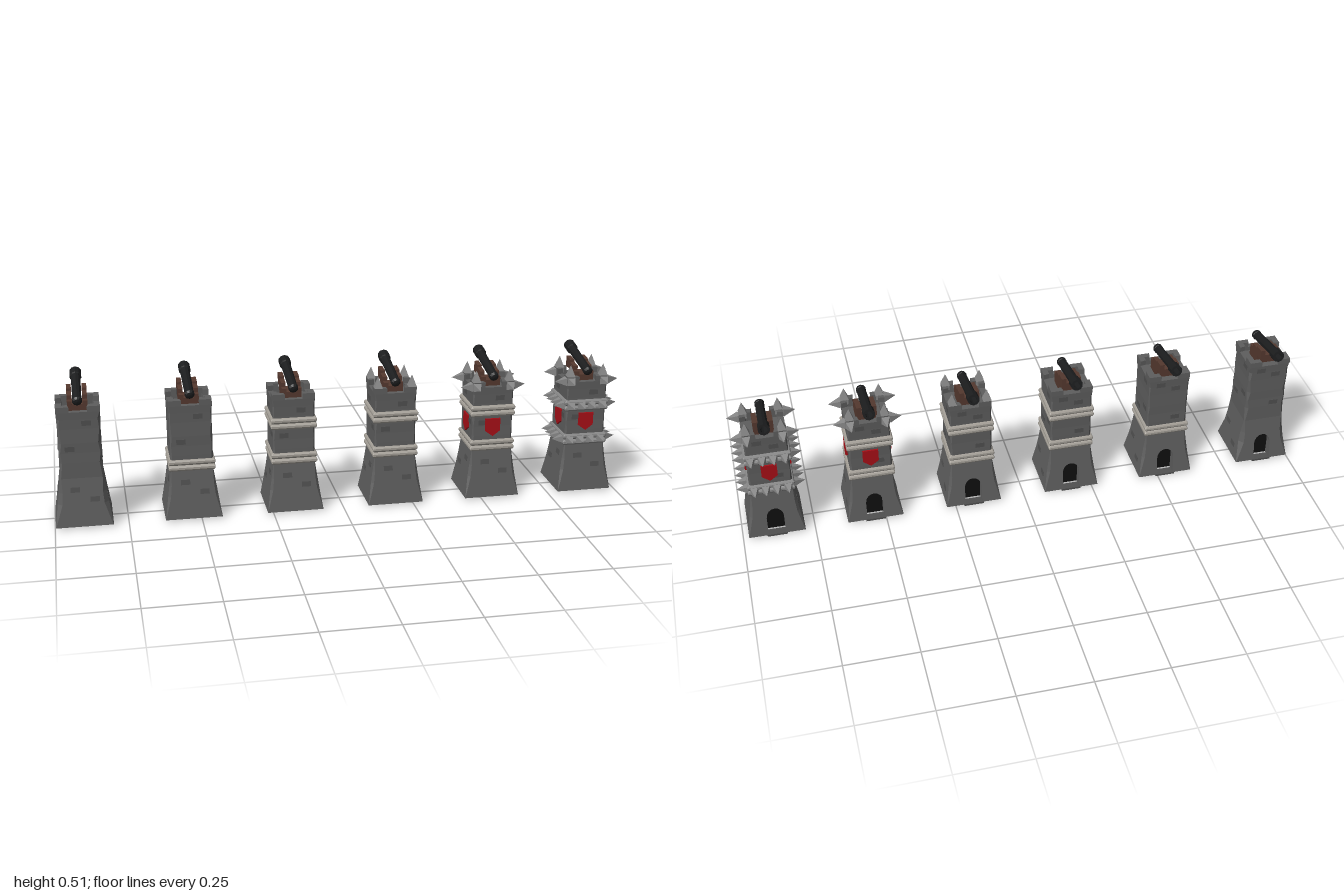
import * as THREE from 'three';

const mat = (color, side = THREE.FrontSide) =>
  new THREE.MeshStandardMaterial({ color, side, flatShading: true });
const stone = mat(0x5e5e5e), stoneOpen = mat(0x5e5e5e, THREE.DoubleSide);
const darkStone = mat(0x505050), lightStone = mat(0xa39e96), metal = mat(0x868686);
const iron = mat(0x1c1d1e, THREE.DoubleSide), black = mat(0x101010, THREE.DoubleSide);
const wood = mat(0x55392f), red = mat(0xa80f17);

function add(parent, name, geometry, material, pos = [0, 0, 0]) {
  const mesh = new THREE.Mesh(geometry, material);
  mesh.name = name;
  mesh.position.set(...pos);
  parent.add(mesh);
  return mesh;
}

function polyGeometry(triangles) {
  const g = new THREE.BufferGeometry();
  g.setAttribute('position', new THREE.Float32BufferAttribute(triangles.flat(), 3));
  g.computeVertexNormals();
  return g;
}

// Square cross-section with cut corners; rows are [y, half width, corner cut]
const ring = ([y, h, c]) => {
  const k = h - c;
  return [[h, y, k], [h, y, -k], [k, y, -h], [-k, y, -h], [-h, y, -k], [-h, y, k], [-k, y, h], [k, y, h]];
};
function loft(rows, openBackBelow = 0, capped = false) {
  const rings = rows.map(ring), tris = [];
  for (let r = 0; r < rings.length - 1; r++) {
    for (let i = 0; i < 8; i++) {
      if (i === 2 && rows[r + 1][0] <= openBackBelow) continue;
      const j = (i + 1) % 8;
      const a = rings[r][i], b = rings[r][j], c = rings[r + 1][j], d = rings[r + 1][i];
      tris.push(a, b, c, a, c, d);
    }
  }
  if (capped) {
    const lo = rings[0], hi = rings[rings.length - 1];
    for (let i = 1; i < 7; i++) tris.push(hi[0], hi[i], hi[i + 1], lo[0], lo[i + 1], lo[i]);
  }
  return polyGeometry(tris);
}

// Four copies around the tower, each built facing +z
function onFourSides(parent, name, build) {
  for (let i = 0; i < 4; i++) {
    const side = new THREE.Group();
    side.name = name;
    side.rotation.y = i * Math.PI / 2;
    build(side, i);
    parent.add(side);
  }
}

const FOOT = 0.007, WAIST = 0.175, BASE = 0.098, NECK = 0.073;
const slopeAt = y => BASE + (NECK - BASE) * (y - FOOT) / (WAIST - FOOT);

function buildWalls(tower, wear) {
  const foot = [[FOOT, .001], [.05, .008], [.085, .013], [.125, .011], [WAIST, .003]]
    .map(([y, c]) => [y, slopeAt(y), c * wear]);
  const shaft = [[.23, .073, .009], [.265, .072, .004], [.3, .073, .01], [.35, .072, .004],
    [.385, .073, .008], [.41, .074, .002]].map(([y, h, c]) => [y, h, c * wear]);
  const floor = [[.41, .054, .002], [.395, .054, .002]];
  add(tower, 'walls', loft([...foot, ...shaft, ...floor], WAIST, true), stone);

  // Sloping back wall with an arched doorway
  const arch = [[-.03, FOOT], [-.03, .075]];
  for (let i = 1; i < 8; i++) {
    const a = Math.PI * (1 - i / 8);
    arch.push([.03 * Math.cos(a), .075 + .034 * Math.sin(a)]);
  }
  arch.push([.03, .075], [.03, FOOT]);
  const edge = foot.map(([y, h, c]) => [h - c, y]);
  const outline = [...edge.map(([x, y]) => [-x, y]).reverse(), ...arch, ...edge];
  const toShape = pts => new THREE.Shape(pts.map(p => new THREE.Vector2(...p)));
  const back = new THREE.ShapeGeometry(toShape(outline));
  const p = back.attributes.position;
  for (let i = 0; i < p.count; i++) p.setZ(i, -slopeAt(p.getY(i)));
  add(tower, 'backWall', back, stoneOpen);
  const reveal = [];
  for (let i = 0; i < arch.length - 1; i++) {
    const [a, b] = [arch[i], arch[i + 1]];
    const a0 = [...a, -slopeAt(a[1])], b0 = [...b, -slopeAt(b[1])];
    const a1 = [...a, -.06], b1 = [...b, -.06];
    reveal.push(a0, b0, b1, a0, b1, a1);
  }
  add(tower, 'doorReveal', polyGeometry(reveal), stoneOpen);
  add(tower, 'door', new THREE.ShapeGeometry(toShape(arch)), black, [0, 0, -.061]);
  add(tower, 'threshold', new THREE.BoxGeometry(.07, .007, .03), darkStone, [0, .0036, -.083]);

  // Raised corners of the parapet
  const corner = toShape([[.074, .074], [.03, .074], [.034, .054], [.054, .054], [.054, .034], [.074, .03]]);
  const merlon = new THREE.ExtrudeGeometry(corner, { depth: .02, bevelEnabled: false });
  merlon.rotateX(-Math.PI / 2);
  onFourSides(tower, 'parapetCorner', side => add(side, 'merlon', merlon, stone, [0, .409, 0]));

  // Weathered stones standing slightly proud of the walls
  const stones = [[-.035, .05], [.04, .1], [-.025, .135], [.03, .245], [-.035, .28], [.025, .37], [-.03, .39]];
  onFourSides(tower, 'wallStones', (side, n) => stones.forEach(([x, y], i) => {
    if ((n === 2 && y < WAIST) || (i + n) % 3 === 0) return;
    const low = y < WAIST;
    const s = add(side, 'wallStone', new THREE.BoxGeometry(.032, .018, .004), darkStone,
      [n % 2 ? -x : x, y, (low ? slopeAt(y) : NECK) - .001]);
    if (low) s.rotation.x = -Math.atan((BASE - NECK) / (WAIST - FOOT));
  }));
}

function buildCannon(tower) {
  const cannon = new THREE.Group();
  cannon.name = 'cannon';
  tower.add(cannon);
  // Stepped wooden cheeks, drawn as [z, y]
  const cheek = new THREE.Shape([[.036, .394], [.036, .437], [.016, .437], [.016, .452], [-.022, .456],
    [-.022, .464], [-.062, .468], [-.062, .43], [-.03, .43], [-.03, .394]].map(q => new THREE.Vector2(...q)));
  const g = new THREE.ExtrudeGeometry(cheek, { depth: .016, bevelEnabled: false });
  g.rotateY(-Math.PI / 2);
  for (const x of [-.018, .034]) add(cannon, 'carriageCheek', g, wood, [x, 0, 0]);
  add(cannon, 'carriageBed', new THREE.BoxGeometry(.04, .03, .066), wood, [0, .41, .003]);

  // Barrel with breech ring, muzzle ring and bore
  const profile = [[0, -.006], [.01, -.004], [.017, .002], [.017, .014], [.0155, .016], [.0165, .1],
    [.0165, .172], [.0205, .174], [.0205, .21], [.012, .21], [.011, .16], [0, .16]]
    .map(q => new THREE.Vector2(...q));
  const barrel = add(cannon, 'barrel', new THREE.LatheGeometry(profile, 10), iron, [0, .448, .073]);
  barrel.rotation.x = -1.379;
}

// Four-sided spike on a square block, pointing along +y from its base
function spike(parent, pos, tilt = 0) {
  const s = new THREE.Group();
  s.name = 'spike';
  s.position.set(...pos);
  s.rotation.x = tilt;
  const cone = new THREE.ConeGeometry(.02, .041, 4);
  cone.rotateY(Math.PI / 4);
  add(s, 'spikePoint', cone, metal, [0, .0205, 0]);
  add(s, 'spikeBlock', new THREE.BoxGeometry(.025, .02, .025), metal, [0, -.009, 0]);
  parent.add(s);
}

function buildBand(tower, y, material, spiked) {
  const rows = [[-.021, .071], [-.019, .077], [-.014, .08], [-.007, .08], [-.002, .077], [0, .074],
    [.002, .077], [.007, .08], [.014, .08], [.019, .077], [.021, .071]];
  add(tower, 'band', loft(rows.map(([dy, h]) => [y + dy, h, .002])), material);
  if (!spiked) return;
  onFourSides(tower, 'bandSpikes', side => {
    for (const x of [-.058, -.019, .019, .058]) spike(side, [x, y, .076], Math.PI / 2);
  });
}

function buildShields(tower) {
  const shape = new THREE.Shape([[-.027, .295], [-.027, .25], [0, .23], [.027, .25], [.027, .295]]
    .map(q => new THREE.Vector2(...q)));
  const g = new THREE.ExtrudeGeometry(shape, { depth: .01, bevelEnabled: false });
  onFourSides(tower, 'shieldSide', side => add(side, 'shield', g, red, [0, 0, .069]));
}

export function createModel() {
  const model = new THREE.Group();
  model.name = 'cannonTowers';
  // Each tower adds one upgrade to the one before it
  [-.9, -.527, -.173, .185, .537, .882].forEach((x, level) => {
    const tower = new THREE.Group();
    tower.name = 'tower' + (level + 1);
    tower.position.set(x, 0, .01);
    model.add(tower);
    buildWalls(tower, level === 0 ? 1.2 : .7);
    buildCannon(tower);
    const bandMaterial = level === 5 ? metal : lightStone;
    if (level >= 1) buildBand(tower, .196, bandMaterial, level === 5);
    if (level >= 2) buildBand(tower, .323, bandMaterial, level === 5);
    if (level >= 3) onFourSides(tower, 'cornerSpike', side => spike(side, [.06, .429, .06]));
    if (level >= 4) {
      buildShields(tower);
      onFourSides(tower, 'crownSpikes', side => {
        for (const sx of [-.06, .06]) spike(side, [sx, .412, .076], Math.PI / 2);
      });
    }
  });
  return model;
}
